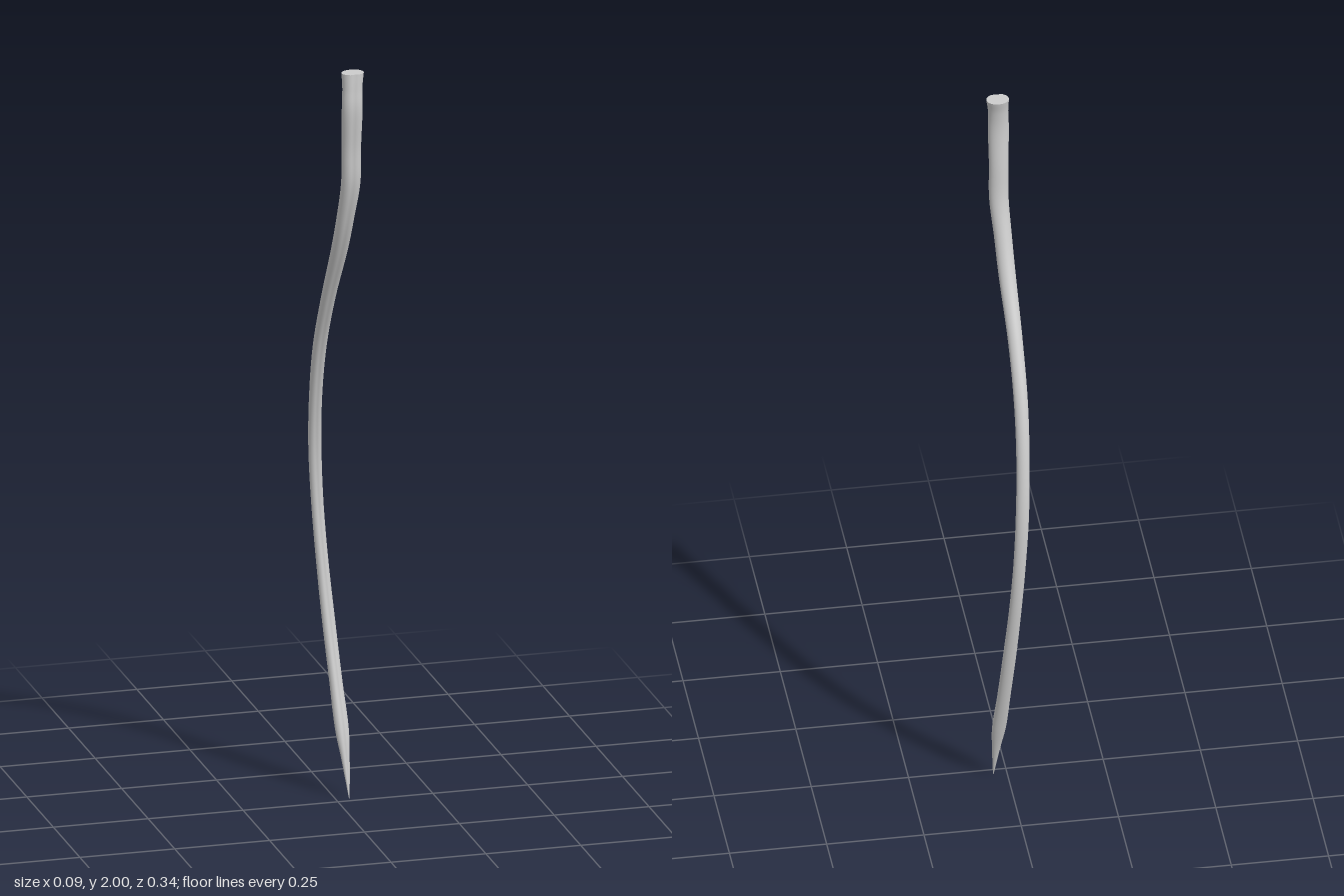
import * as THREE from 'three';

// Stations from tip to base: y, centre x, centre z, half width, half depth
const STATIONS = [
  [0.00, 0.035, -0.018, 0.001, 0.001],
  [0.10, 0.031, -0.040, 0.011, 0.008],
  [0.18, 0.026, -0.058, 0.018, 0.013],
  [0.30, 0.018, -0.087, 0.017, 0.014],
  [0.45, 0.008, -0.118, 0.017, 0.013],
  [0.60, -0.002, -0.141, 0.016, 0.013],
  [0.75, -0.011, -0.154, 0.016, 0.012],
  [0.90, -0.019, -0.149, 0.017, 0.013],
  [1.05, -0.025, -0.121, 0.017, 0.014],
  [1.20, -0.027, -0.075, 0.018, 0.015],
  [1.35, -0.023, -0.009, 0.019, 0.016],
  [1.50, -0.014, 0.063, 0.022, 0.019],
  [1.60, -0.009, 0.103, 0.023, 0.020],
  [1.70, -0.003, 0.131, 0.025, 0.020],
  [1.80, -0.004, 0.141, 0.025, 0.019],
  [1.90, -0.005, 0.152, 0.027, 0.020],
  [1.96, -0.004, 0.150, 0.026, 0.020],
  [2.00, -0.002, 0.145, 0.029, 0.023],
];
const ROWS = 140, SIDES = 32;

function createStrand() {
  const centre = new THREE.CatmullRomCurve3(
    STATIONS.map(([y, x, z]) => new THREE.Vector3(x, y, z)), false, 'catmullrom', 0.5);
  const radii = new THREE.CatmullRomCurve3(
    STATIONS.map(([, , , w, d]) => new THREE.Vector3(w, d, 0)), false, 'catmullrom', 0.5);
  const pos = [], index = [];

  // Oval rings with a shallow groove running down the front
  for (let i = 0; i <= ROWS; i++) {
    const c = centre.getPoint(i / ROWS), r = radii.getPoint(i / ROWS);
    for (let j = 0; j < SIDES; j++) {
      const a = (j / SIDES) * Math.PI * 2;
      const k = 1 - 0.16 * Math.exp(-(((a - Math.PI / 2) / 0.28) ** 2));
      pos.push(c.x + r.x * k * Math.cos(a), c.y, c.z + r.y * k * Math.sin(a));
      if (i < ROWS) {
        const p = i * SIDES + j, q = i * SIDES + (j + 1) % SIDES;
        index.push(p, p + SIDES, q, q, p + SIDES, q + SIDES);
      }
    }
  }
  const body = new THREE.BufferGeometry();
  body.setAttribute('position', new THREE.Float32BufferAttribute(pos, 3));
  body.setIndex(index);
  body.computeVertexNormals();

  // Flat cut at the base, fanned from its centre with its own vertices
  const end = centre.getPoint(1);
  const capPos = [end.x, end.y, end.z, ...pos.slice(-SIDES * 3)], capIndex = [];
  for (let j = 0; j < SIDES; j++) capIndex.push(0, 1 + (j + 1) % SIDES, 1 + j);
  const cap = new THREE.BufferGeometry();
  cap.setAttribute('position', new THREE.Float32BufferAttribute(capPos, 3));
  cap.setIndex(capIndex);
  cap.computeVertexNormals();
  return { body, cap };
}

export function createModel() {
  const group = new THREE.Group();
  const material = new THREE.MeshStandardMaterial({ color: 0xcccccc });
  const parts = createStrand();
  for (const [name, geometry] of [['taperedStrand', parts.body], ['cutEnd', parts.cap]]) {
    const mesh = new THREE.Mesh(geometry, material);
    mesh.name = name;
    group.add(mesh);
  }
  return group;
}
